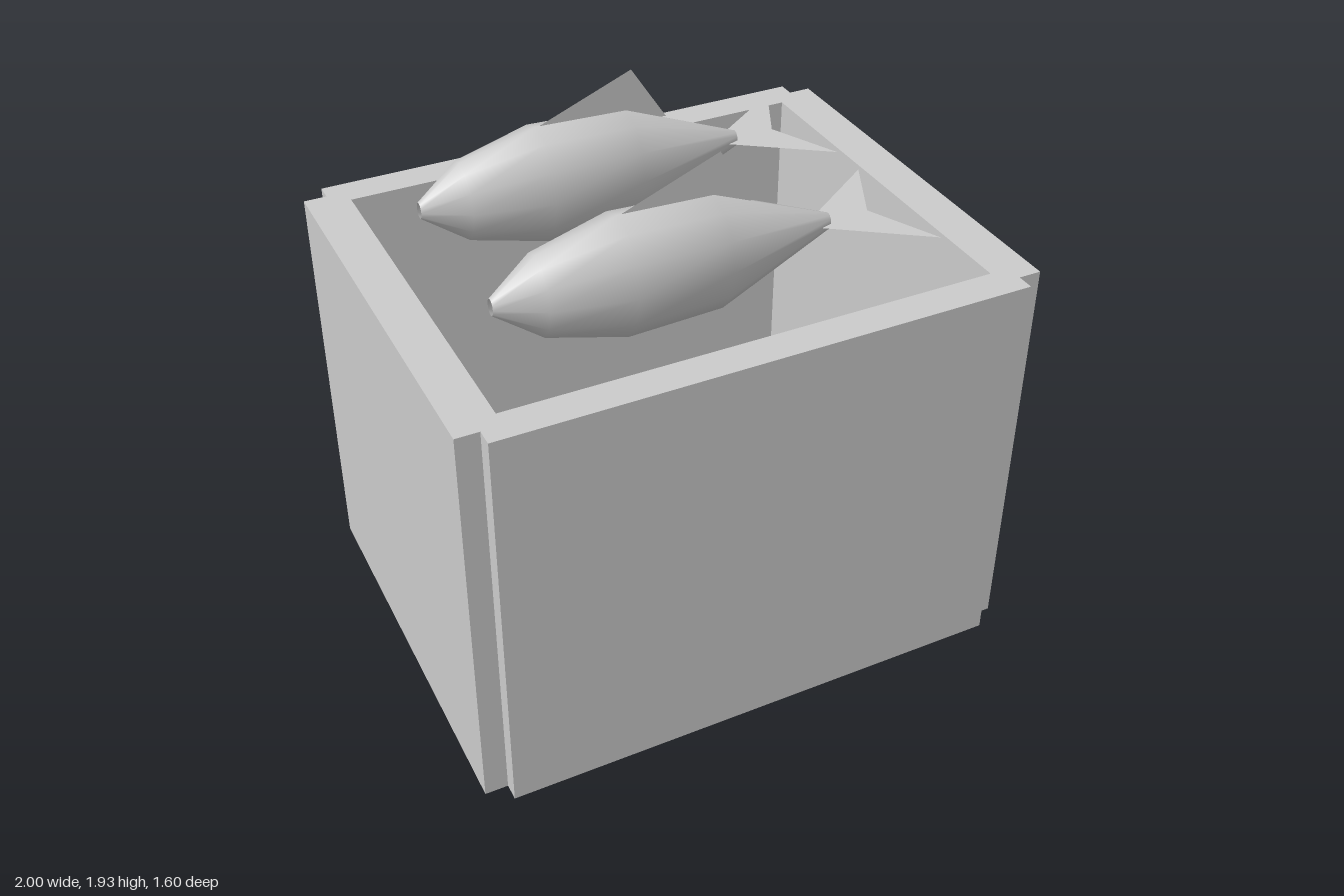
import * as THREE from 'three';

const grey = new THREE.MeshStandardMaterial({ color: 0xcccccc, side: THREE.DoubleSide });
grey.name = 'plain grey';

function part(name, geometry) {
  const mesh = new THREE.Mesh(geometry, grey);
  mesh.name = name;
  return mesh;
}

const points = (list) => list.map(([x, y]) => new THREE.Vector2(x, y));

// Upright prism from a plan outline, standing on y = 0
function prism(shape, height) {
  return new THREE.ExtrudeGeometry(shape, { depth: height, bevelEnabled: false }).rotateX(-Math.PI / 2);
}

// Outline with a notch cut from each corner
function notchedOutline() {
  return new THREE.Shape(points([
    [-0.92, -0.8], [0.92, -0.8], [0.92, -0.74], [1, -0.74],
    [1, 0.74], [0.92, 0.74], [0.92, 0.8], [-0.92, 0.8],
    [-0.92, 0.74], [-1, 0.74], [-1, -0.74], [-0.92, -0.74],
  ]));
}

function createCrate() {
  const crate = new THREE.Group();
  crate.name = 'crate';
  const wallPlan = notchedOutline();
  wallPlan.holes.push(new THREE.Path(points([[-0.85, -0.68], [-0.85, 0.68], [0.85, 0.68], [0.85, -0.68]])));
  const floor = new THREE.BoxGeometry(1.7, 0.07, 1.36).translate(0, 0.035, 0);
  crate.add(part('crateWalls', prism(wallPlan, 1.48)), part('crateFloor', floor));
  return crate;
}

function createFish(z) {
  const fish = new THREE.Group();
  fish.name = 'fish';

  // Tapered body, open at both tips, taller than wide
  const profile = points([[0.022, -0.72], [0.107, -0.57], [0.16, -0.3], [0.151, 0.03], [0.022, 0.45]]);
  const body = new THREE.LatheGeometry(profile, 12).scale(1.32, 1, 1).rotateZ(-Math.PI / 2);

  // Flat upright back fin
  const fin = new THREE.ShapeGeometry(new THREE.Shape(points([[-0.3, 0.205], [0.18, 0.145], [0.05, 0.345]])));

  // Flat level forked tail
  const tail = new THREE.ShapeGeometry(new THREE.Shape(points([
    [0.36, 0], [0.72, -0.25], [0.6, 0], [0.72, 0.25],
  ]))).rotateX(-Math.PI / 2);

  fish.add(part('fishBody', body), part('backFin', fin), part('tailFin', tail));
  fish.position.set(0, 1.59, z);
  return fish;
}

export function createModel() {
  const model = new THREE.Group();
  model.name = 'fishCrate';
  model.add(createCrate());
  for (const z of [-0.32, 0.32]) model.add(createFish(z));
  return model;
}
